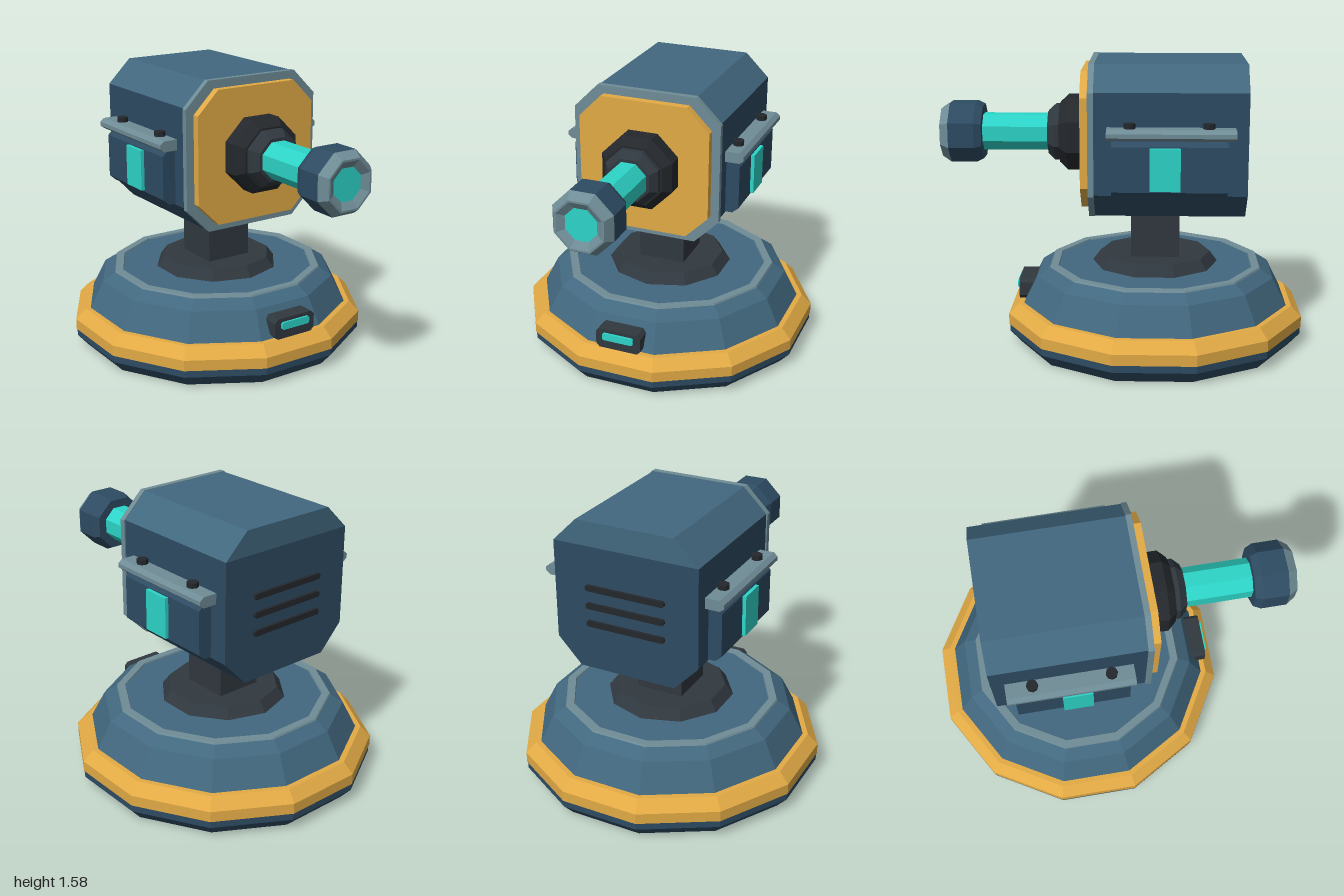
import * as THREE from 'three';

const mat = (color) => new THREE.MeshStandardMaterial({ color, flatShading: true });

export function createModel() {
  const model = new THREE.Group();
  const blue = mat(0x42687f), navy = mat(0x2d4b62), dark = mat(0x30383f), black = mat(0x24282c);
  const gold = mat(0xe2aa45), steel = mat(0x6f8c96), cyan = mat(0x2dd4c8);
  const baseZ = -0.185, axisY = 1.17;

  function add(name, geometry, material, x = 0, y = 0, z = 0, parent = model) {
    const mesh = new THREE.Mesh(geometry, material);
    mesh.name = name;
    mesh.position.set(x, y, z);
    parent.add(mesh);
    return mesh;
  }

  // Faceted solid of revolution; radii are measured to the flats
  function turned(points, sides) {
    const k = 1 / Math.cos(Math.PI / sides);
    const pts = points.map(([r, y]) => new THREE.Vector2(r * k, y));
    return new THREE.LatheGeometry(pts, sides, Math.PI / sides);
  }

  // Outline in xy pushed along z from z0 to z1
  function prism(points, z0, z1) {
    const shape = new THREE.Shape(points.map(([x, y]) => new THREE.Vector2(x, y)));
    return new THREE.ExtrudeGeometry(shape, { depth: z1 - z0, bevelEnabled: false }).translate(0, 0, z0);
  }

  // Rectangle outline with cut corners, w and h are half sizes
  const cutRect = (w, h, c) => [
    [w, c - h], [w, h - c], [w - c, h], [c - w, h], [-w, h - c], [-w, c - h], [c - w, -h], [w - c, -h],
  ];

  // Round base
  const base = new THREE.Group();
  base.name = 'base';
  base.position.z = baseZ;
  model.add(base);
  const baseParts = [
    ['baseSkirt', [[0, 0], [0.75, 0], [0.81, 0.07], [0.81, 0.12], [0, 0.12]], navy],
    ['baseBand', [[0.7, 0.11], [0.815, 0.11], [0.815, 0.17], [0.76, 0.228], [0.7, 0.228]], gold],
    ['baseDome', [[0.735, 0.22], [0.655, 0.38], [0.585, 0.427], [0, 0.427]], blue],
    ['baseRing', [[0.59, 0.42], [0.582, 0.435], [0.54, 0.435], [0.535, 0.42]], steel],
  ];
  for (const [name, points, material] of baseParts) add(name, turned(points, 12), material, 0, 0, 0, base);
  add('swivelFoot', new THREE.CylinderGeometry(0.31, 0.355, 0.06, 10), dark, 0, 0.455, 0, base);
  add('neck', new THREE.BoxGeometry(0.27, 0.32, 0.27), dark, 0, 0.63, 0, base);

  // Status lamp on the front of the base
  add('lampHousing', prism(cutRect(0.13, 0.058, 0.02), 0.45, 0.58), dark, 0, 0.287);
  add('lampLight', prism(cutRect(0.09, 0.021, 0.008), 0.57, 0.592), cyan, 0, 0.304);

  // Eight-sided housing with a lighter roof
  add('housing', prism([[0.41, 0.9], [0.41, 1.445], [-0.41, 1.445], [-0.41, 0.9], [-0.275, 0.757], [0.275, 0.757]], -0.67, 0.14), navy);
  add('roof', prism([[0.41, 1.445], [0.275, 1.578], [-0.275, 1.578], [-0.41, 1.445]], -0.67, 0.14), blue);
  add('frontFrame', prism(cutRect(0.417, 0.413, 0.138), 0.14, 0.172), steel, 0, 1.168);
  add('frontPlate', prism(cutRect(0.37, 0.368, 0.126), 0.172, 0.215), gold, 0, 1.168);

  // Barrel, turned along z
  const barrel = new THREE.Group();
  barrel.name = 'barrel';
  barrel.position.y = axisY;
  barrel.rotation.x = Math.PI / 2;
  model.add(barrel);
  const barrelParts = [
    ['barrelCollar', [[0.2, 0.21], [0.2, 0.3], [0.16, 0.345], [0, 0.345]], black],
    ['barrelSleeve', [[0.15, 0.34], [0.15, 0.37], [0.115, 0.41], [0, 0.41]], dark],
    ['barrelTube', [[0.098, 0.4], [0.098, 0.78]], cyan],
    ['muzzle', [[0, 0.77], [0.145, 0.77], [0.163, 0.81], [0.163, 0.95]], navy],
    ['muzzleRim', [[0.163, 0.95], [0.132, 1.0], [0.122, 1.0], [0.085, 0.975]], steel],
    ['muzzleLens', [[0.087, 0.975], [0, 0.975]], cyan],
  ];
  for (const [name, points, material] of barrelParts) add(name, turned(points, 8), material, 0, 0, 0, barrel);

  // Side pods with window, rail and bolts
  for (const s of [1, -1]) {
    const side = new THREE.Group();
    side.name = s > 0 ? 'leftPod' : 'rightPod';
    model.add(side);
    const mirror = (points) => points.map(([x, y]) => [s * x, y]);
    const pod = mirror([[0.4, 0.905], [0.45, 0.905], [0.485, 0.935], [0.485, 1.175], [0.45, 1.207], [0.4, 1.207]]);
    const rail = mirror([[0.4, 1.207], [0.49, 1.207], [0.513, 1.225], [0.513, 1.247], [0.49, 1.266], [0.4, 1.266]]);
    add('podBody', prism(pod, -0.56, 0.045), navy, 0, 0, 0, side);
    add('podWindow', new THREE.BoxGeometry(0.03, 0.225, 0.16), cyan, s * 0.49, 1.057, -0.235, side);
    add('podRail', prism(rail, -0.6, 0.07), steel, 0, 0, 0, side);
    for (const z of [-0.05, -0.46]) {
      add('railBolt', new THREE.CylinderGeometry(0.031, 0.031, 0.035, 8), black, s * 0.444, 1.275, z, side);
    }
  }

  // Vent bars on the back
  for (const y of [1.02, 1.12, 1.22]) {
    add('ventBar', prism(cutRect(0.225, 0.016, 0.008), -0.686, -0.66), black, 0, y);
  }

  return model;
}
